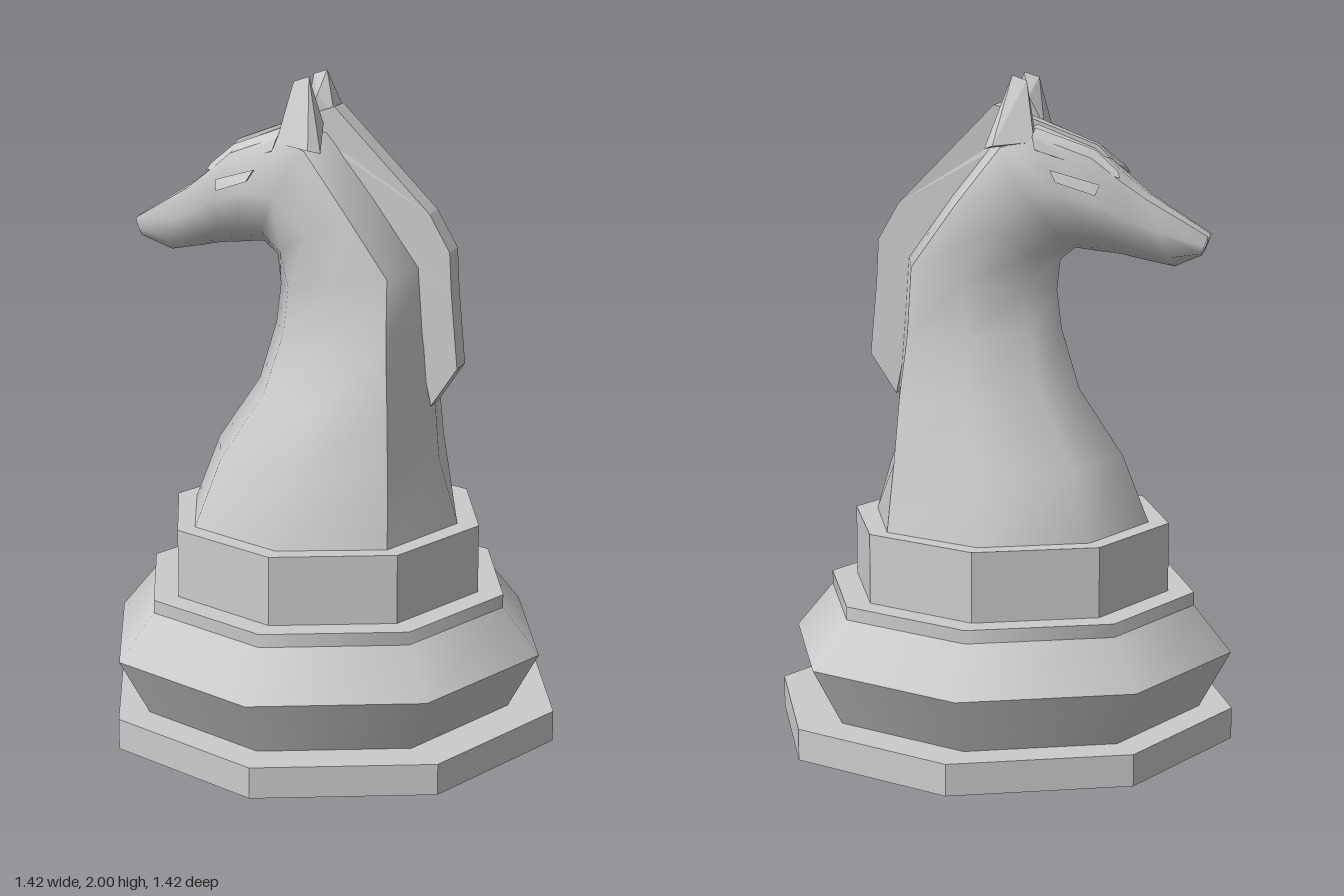
import * as THREE from 'three';
import { ConvexGeometry } from 'three/addons/geometries/ConvexGeometry.js';

const smooth = new THREE.MeshStandardMaterial({ color: 0xcccccc });
const flat = new THREE.MeshStandardMaterial({ color: 0xcccccc, flatShading: true });
const CX = -0.022; // the upper tiers sit slightly forward

function add(group, name, geometry, material) {
  const mesh = new THREE.Mesh(geometry, material);
  mesh.name = name;
  group.add(mesh);
  return mesh;
}

// Octagonal tier from y0 to y1
function tier(group, name, r0, r1, y0, y1, x, material) {
  const mesh = add(group, name, new THREE.CylinderGeometry(r1, r0, y1 - y0, 8), material);
  mesh.position.set(x, (y0 + y1) / 2, 0);
}

// Skin a list of equally long open rows of points
function skin(rows) {
  const n = rows[0].length, index = [];
  for (let i = 0; i < rows.length - 1; i++) {
    for (let j = 0; j < n - 1; j++) {
      const a = i * n + j, b = a + 1, c = a + n, d = c + 1;
      index.push(a, c, b, b, c, d);
    }
  }
  const g = new THREE.BufferGeometry();
  g.setAttribute('position', new THREE.Float32BufferAttribute(rows.flat(2), 3));
  g.setIndex(index);
  g.computeVertexNormals();
  return g;
}

// Convex piece, mirrored to the other side
function pair(group, name, points) {
  for (const s of [1, -1]) {
    const pts = points.map(([x, y, z]) => new THREE.Vector3(x, y, z * s));
    add(group, name + (s > 0 ? 'Left' : 'Right'), new ConvexGeometry(pts), flat);
  }
}

export function createModel() {
  const model = new THREE.Group();
  model.name = 'chessKnight';

  // Base tiers
  tier(model, 'basePlate', 0.712, 0.712, 0, 0.095, 0, flat);
  tier(model, 'baseLowerFlare', 0.59, 0.685, 0.095, 0.27, CX, smooth);
  tier(model, 'baseUpperTaper', 0.685, 0.57, 0.27, 0.41, CX, smooth);
  tier(model, 'baseBand', 0.57, 0.57, 0.41, 0.45, CX, smooth);
  tier(model, 'collar', 0.49, 0.49, 0.45, 0.66, CX, flat);

  // Neck and head sections: back/top point, front/under point,
  // half widths at the back corner, middle and front corner, corner position
  const sections = [
    [0.40, 0.66, -0.45, 0.66, 0.31, 0.43, 0.30, 0.14],
    [0.34, 0.86, -0.37, 0.86, 0.275, 0.365, 0.24, 0.10],
    [0.325, 1.05, -0.235, 1.06, 0.25, 0.30, 0.17, 0.12],
    [0.31, 1.24, -0.18, 1.24, 0.215, 0.225, 0.12, 0.14],
    [0.295, 1.45, -0.165, 1.36, 0.19, 0.222, 0.11, 0.13],
    [0.15, 1.65, -0.175, 1.45, 0.185, 0.207, 0.10, 0.14],
    [0.0, 1.84, -0.22, 1.487, 0.165, 0.224, 0.10, 0.13],
    [-0.11, 1.86, -0.30, 1.478, 0.135, 0.20, 0.085, 0.09],
    [-0.28, 1.79, -0.36, 1.472, 0.105, 0.15, 0.065, 0.08],
    [-0.37, 1.71, -0.43, 1.457, 0.085, 0.105, 0.055, 0.06],
    [-0.44, 1.655, -0.52, 1.44, 0.062, 0.07, 0.045, 0.06],
    [-0.625, 1.54, -0.60, 1.475, 0.036, 0.042, 0.036, 0.06],
    [-0.615, 1.508, -0.615, 1.508, 0, 0, 0, 0],
  ];
  const sides = [], backs = [];
  for (const [bx, by, fx, fy, wBack, wMid, wFront, t] of sections) {
    const at = (k, z) => [bx + (fx - bx) * k, by + (fy - by) * k, z];
    sides.push([at(t, wBack), at(0.5, wMid), at(0.86, wFront), at(1, 0),
      at(0.86, -wFront), at(0.5, -wMid), at(t, -wBack)]);
    backs.push([at(t, -wBack), at(0, 0), at(t, wBack)]);
  }
  add(model, 'neckAndFace', skin(sides), smooth);
  add(model, 'napeAndForehead', skin(backs), smooth);

  // Mane crest, thinning into the forelock
  const outline = [[-0.33, 1.755], [-0.29, 1.795], [-0.1, 1.868], [0.02, 1.91], [0.315, 1.61],
    [0.378, 1.5], [0.385, 1.37], [0.405, 1.15], [0.325, 1.03], [0.29, 1.2],
    [0.26, 1.43], [-0.02, 1.8], [-0.12, 1.82]];
  const mane = new THREE.ExtrudeGeometry(
    new THREE.Shape(outline.map(p => new THREE.Vector2(...p))), { depth: 2, bevelEnabled: false });
  mane.translate(0, 0, -1);
  const pos = mane.attributes.position;
  for (let i = 0; i < pos.count; i++) {
    const k = THREE.MathUtils.clamp((pos.getX(i) + 0.33) / 0.36, 0, 1);
    pos.setZ(i, pos.getZ(i) * (0.014 + 0.027 * k));
  }
  add(model, 'mane', mane, flat);

  // Ears, brows and eyes
  pair(model, 'ear', [[-0.045, 2, 0.078], [-0.09, 1.985, 0.085], [-0.065, 1.93, 0.05],
    [-0.125, 1.81, 0.14], [-0.11, 1.84, 0.065], [-0.01, 1.86, 0.05],
    [-0.01, 1.8, 0.185], [0.02, 1.79, 0.16]]);
  pair(model, 'brow', [[-0.37, 1.705, 0.085], [-0.36, 1.725, 0.07], [-0.29, 1.785, 0.06],
    [-0.12, 1.85, 0.1], [-0.12, 1.825, 0.15], [-0.13, 1.79, 0.16], [-0.2, 1.75, 0.1]]);
  pair(model, 'eye', [[-0.32, 1.69, 0.137], [-0.18, 1.735, 0.185], [-0.2, 1.7, 0.195],
    [-0.31, 1.66, 0.158], [-0.3, 1.68, 0.08], [-0.2, 1.71, 0.08]]);

  return model;
}
